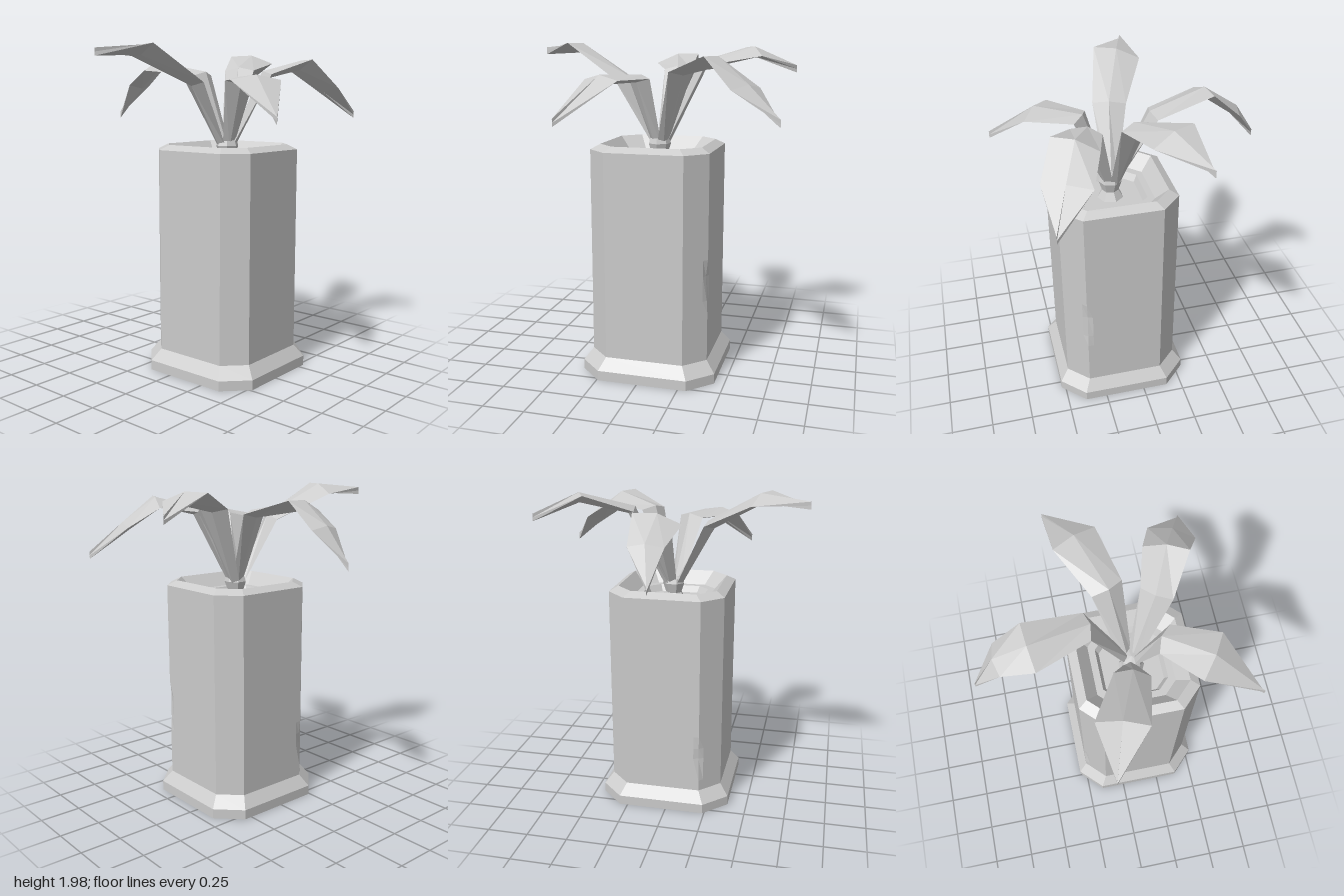
import * as THREE from 'three';

const V = (x, y, z) => new THREE.Vector3(x, y, z);
const material = new THREE.MeshStandardMaterial({ color: 0xcccccc, flatShading: true });
const CX = 0.03, CZ = 0.115; // pot axis

// Skin a series of equal-length rings, optionally closing either end with a fan
function loft(rings, capStart, capEnd) {
  const pos = [];
  const tri = (...pts) => pts.forEach((p) => pos.push(p.x, p.y, p.z));
  const n = rings[0].length;
  for (let k = 0; k + 1 < rings.length; k++) {
    const a = rings[k], b = rings[k + 1];
    for (let i = 0; i < n; i++) {
      const j = (i + 1) % n;
      tri(a[i], b[i], b[j]);
      tri(a[i], b[j], a[j]);
    }
  }
  const cap = (ring, flip) => {
    const c = ring.reduce((s, p) => s.add(p), V(0, 0, 0)).divideScalar(n);
    for (let i = 0; i < n; i++) {
      const j = (i + 1) % n;
      if (flip) tri(c, ring[i], ring[j]);
      else tri(c, ring[j], ring[i]);
    }
  };
  if (capStart) cap(rings[0], true);
  if (capEnd) cap(rings[rings.length - 1], false);
  const g = new THREE.BufferGeometry();
  g.setAttribute('position', new THREE.Float32BufferAttribute(pos, 3));
  g.computeVertexNormals();
  return g;
}

// Square of half width a with chamfered corners
function octagon(y, a) {
  const b = a * 0.658;
  return [[a, -b], [a, b], [b, a], [-b, a], [-a, b], [-a, -b], [-b, -a], [b, -a]]
    .map(([x, z]) => V(CX + x, y, CZ + z));
}

// Octagon whose chipped corners carry a flank point on each side
const chips = { 1: { 0.5: 0.4, 0.65: 1 }, 6: { 0.35: 1, 0.42: 0.5 } };
function bodyRing(y) {
  const o = octagon(y, 0.357);
  return o.flatMap((p, i) => {
    if (!chips[i]) return [p];
    const toward = (q) => p.clone().add(q.clone().sub(p).setLength(0.035));
    const before = toward(o[(i + 7) % 8]), after = toward(o[(i + 1) % 8]);
    const mid = before.clone().lerp(after, 0.5);
    return [before, p.clone().lerp(mid, chips[i][y] || 0), after];
  });
}

// Leaf with a diamond section; station: x, y, z, half width, rise of one edge
function leafGeometry(stations) {
  const c = stations.map((s) => V(s[0], s[1], s[2]));
  const last = c.length - 1;
  const rings = stations.map(([, , , w, roll = 0], i) => {
    const t = c[Math.min(i + 1, last)].clone().sub(c[Math.max(i - 1, 0)]).normalize();
    const side = V(0, 1, 0).cross(t).normalize();
    const up = i === last ? V(0, 1, 0) : t.clone().cross(side);
    const s = side.multiplyScalar(w).add(V(0, roll, 0));
    const u = up.multiplyScalar(i === 0 ? 0.02 : i === last ? 0.022 : 0.03);
    return [c[i].clone().add(u), c[i].clone().add(s), c[i].clone().sub(u), c[i].clone().sub(s)];
  });
  return loft(rings, true, true);
}

const leaves = {
  backLeaf: [[0.04, 1.38, 0.09, 0.035], [0.085, 1.82, -0.125, 0.085],
    [0, 1.88, -0.45, 0.135, -0.03], [0.02, 1.76, -0.63, 0.1], [-0.02, 1.565, -0.78, 0]],
  leftLeaf: [[0.06, 1.38, 0.09, 0.035], [0.27, 1.85, 0.02, 0.095],
    [0.56, 1.93, -0.1, 0.14, 0.025], [0.8, 1.825, -0.245, 0]],
  rightLeaf: [[0, 1.38, 0.1, 0.035], [-0.21, 1.77, 0.06, 0.1],
    [-0.52, 1.95, -0.06, 0.14, 0.03], [-0.8, 1.93, -0.145, 0]],
  frontRightLeaf: [[0.02, 1.38, 0.13, 0.035], [-0.05, 1.78, 0.27, 0.09],
    [-0.2, 1.78, 0.5, 0.15], [-0.38, 1.565, 0.77, 0]],
  frontLeftLeaf: [[0.05, 1.38, 0.13, 0.035], [0.2, 1.82, 0.28, 0.095],
    [0.43, 1.88, 0.38, 0.13, -0.03], [0.6, 1.74, 0.46, 0.14], [0.8, 1.57, 0.555, 0]],
};

export function createModel() {
  const model = new THREE.Group();
  model.name = 'pottedPlant';
  const add = (name, geometry, parent = model) => {
    const mesh = new THREE.Mesh(geometry, material);
    mesh.name = name;
    parent.add(mesh);
    return mesh;
  };

  // Pot: flared foot, chipped body, bevelled rim stepping down to the soil
  add('potFoot', loft([octagon(0, 0.41), octagon(0.06, 0.41), octagon(0.13, 0.357)], true, false));
  add('potBody', loft([0.13, 0.2, 0.35, 0.42, 0.5, 0.65, 0.75, 1.37].map(bodyRing), false, false));
  const rim = [[1.37, 0.357], [1.4, 0.305], [1.32, 0.235], [1.32, 0.195], [1.28, 0.175]];
  add('potRimAndSoil', loft(rim.map(([y, a]) => octagon(y, a)), false, true));

  // Waisted stem the leaves grow from
  const stemProfile = [[0.085, 1.27], [0.05, 1.33], [0.07, 1.39], [0.06, 1.42], [0, 1.43]];
  const stem = add('stem', new THREE.LatheGeometry(
    stemProfile.map(([r, y]) => new THREE.Vector2(r, y)), 7));
  stem.position.set(CX, 0, CZ);

  // Arching leaves
  const foliage = new THREE.Group();
  foliage.name = 'leaves';
  for (const [name, stations] of Object.entries(leaves)) add(name, leafGeometry(stations), foliage);
  model.add(foliage);
  return model;
}
